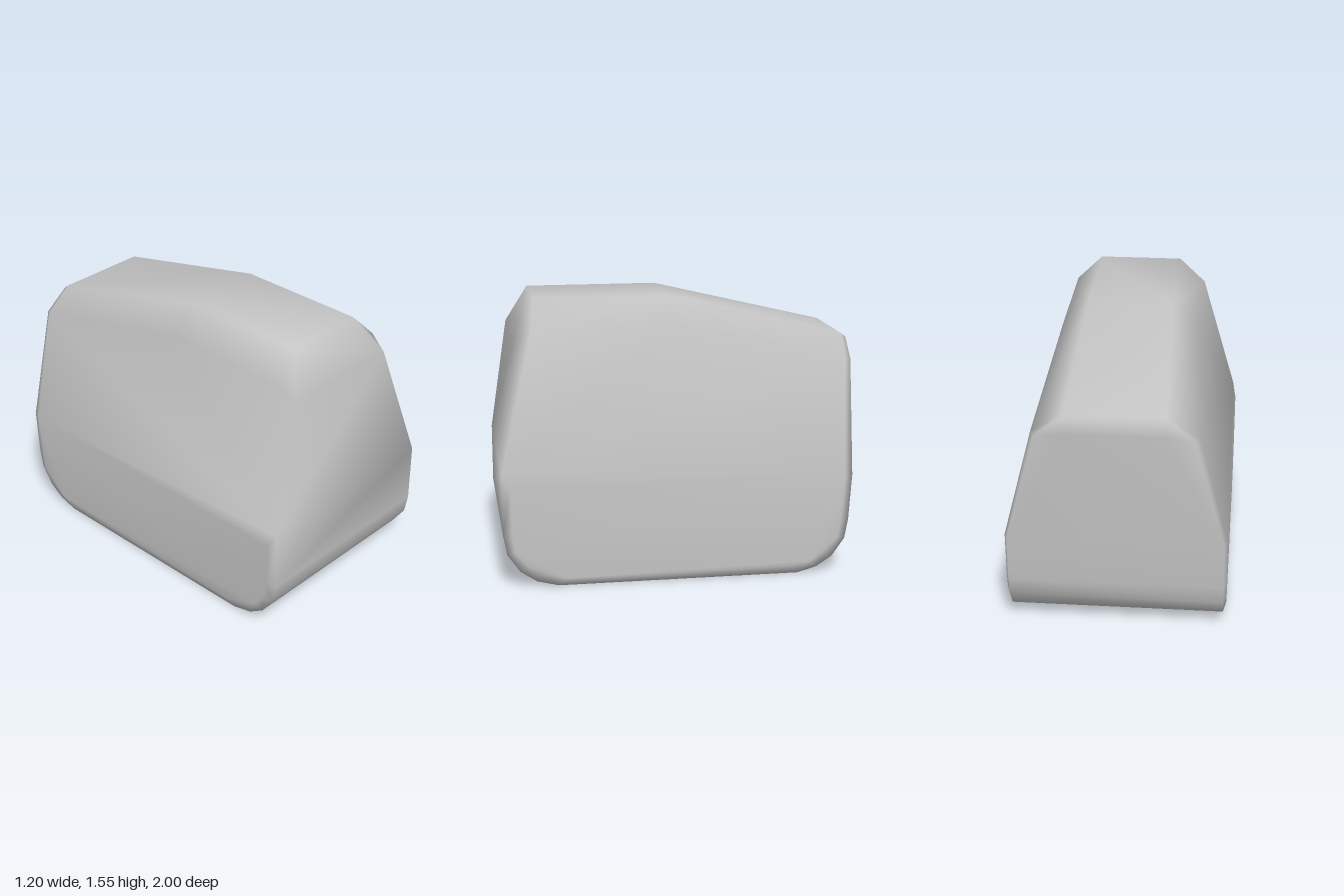
import * as THREE from 'three';
import { ConvexGeometry } from 'three/addons/geometries/ConvexGeometry.js';
import { mergeVertices } from 'three/addons/utils/BufferGeometryUtils.js';

export function createModel() {
  const group = new THREE.Group();
  group.name = 'taperedBlock';
  const grey = new THREE.MeshStandardMaterial({ color: 0xc4c4c4 });
  grey.name = 'light grey';

  const points = [];
  const mirrored = (x, y, z) => points.push(new THREE.Vector3(x, y, z), new THREE.Vector3(-x, y, z));

  // Lower side outline [z, y] with rounded bottom corners
  const lower = [
    [1, 0.64], [1, 0.3], [0.98, 0.19], [0.91, 0.09], [0.82, 0.03], [0.7, 0],
    [-0.65, 0], [-0.76, 0.03], [-0.85, 0.09], [-0.92, 0.19], [-0.94, 0.3], [-0.957, 0.56],
  ];
  for (const [z, y] of lower) {
    mirrored(0.585, y, z);
    // Inset copy makes the narrow bevel onto the side wall
    const inset = 0.045;
    mirrored(0.602, Math.min(0.56, y + inset * Math.max(0, 1 - y / 0.3)), z - Math.sign(z) * inset);
  }

  // Front face top and the flat roof
  mirrored(0.37, 1.33, 0.91);
  mirrored(0.39, 1.4, 0.81);
  mirrored(0.24, 1.55, 0.79);
  mirrored(0.24, 1.55, 0.04);
  mirrored(0.39, 1.4, 0.04);

  // Sloping roof end and back face top
  mirrored(0.27, 1.31, -0.96);
  mirrored(0.27, 1.29, -0.985);
  mirrored(0.27, 1.22, -1);
  mirrored(0.42, 1.19, -0.975);
  mirrored(0.44, 1.2, -0.94);

  // Weld the shell so that its normals are smooth throughout
  let shell = new ConvexGeometry(points);
  shell.deleteAttribute('normal');
  shell = mergeVertices(shell, 1e-4);
  shell.computeVertexNormals();

  const body = new THREE.Mesh(shell, grey);
  body.name = 'body';
  group.add(body);
  return group;
}
